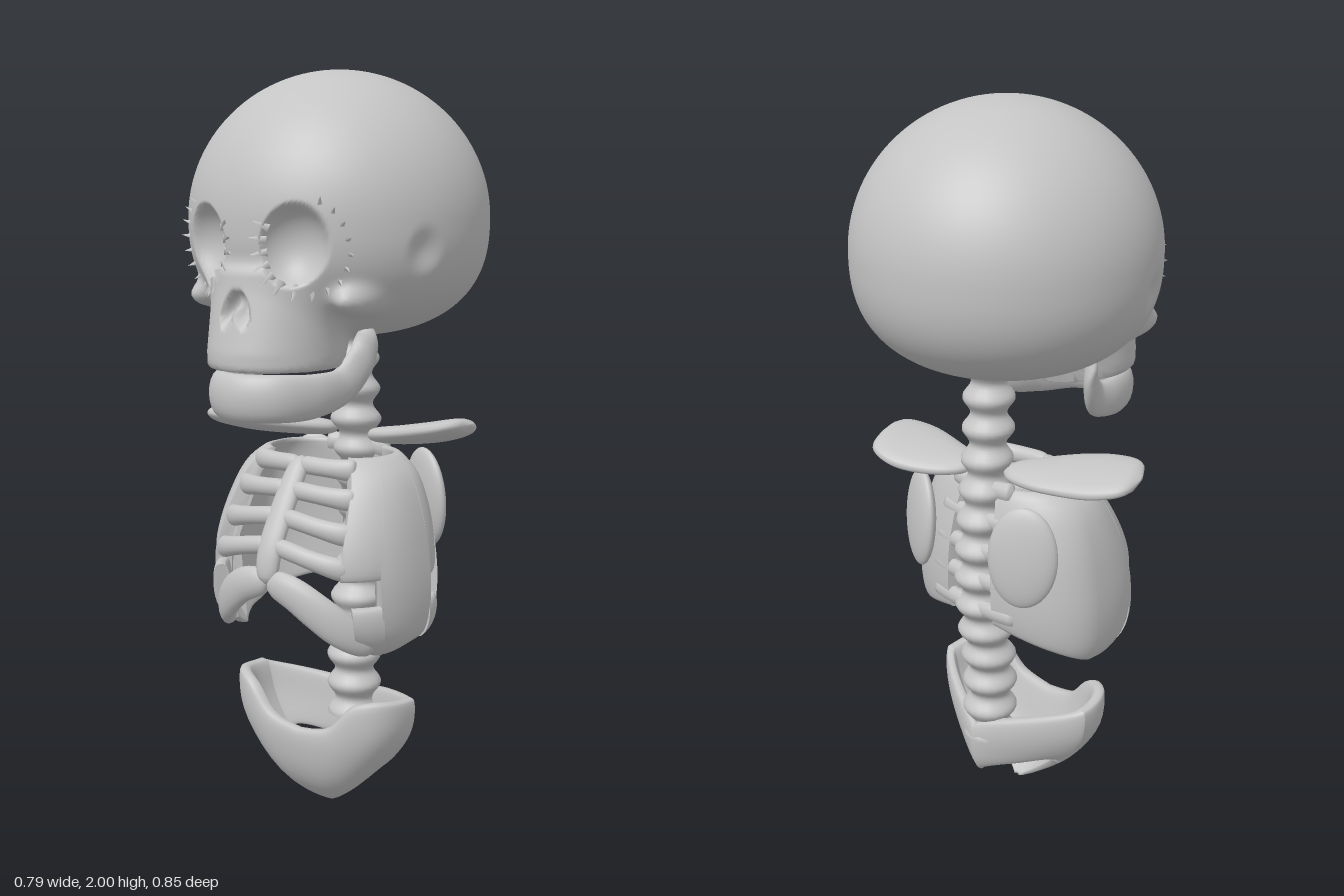
import * as THREE from 'three';

const V = (x, y, z) => new THREE.Vector3(x, y, z);
const bone = new THREE.MeshStandardMaterial({ color: 0xc4c4c4 });
bone.name = 'bone grey';

// smooth curve through [key, value] pairs
function keys(...pairs) {
  const c = new THREE.CubicInterpolant(pairs.map(p => p[0]), pairs.map(p => p[1]), 1);
  return t => c.evaluate(t)[0];
}

// skin a series of equal rings; open ends get caps, winding is set by the volume
function loft(rings, closed = false) {
  const n = rings[0].length, m = rings.length, pts = rings.flat(), idx = [];
  const last = closed ? m : m - 1;
  for (let i = 0; i < last; i++) for (let j = 0; j < n; j++) {
    const k = (j + 1) % n, r = i * n, s = ((i + 1) % m) * n;
    idx.push(r + j, s + j, s + k, r + j, s + k, r + k);
  }
  if (!closed) [rings[0], rings[m - 1]].forEach((ring, e) => {
    const base = pts.length, mid = V(0, 0, 0);
    ring.forEach(p => { mid.addScaledVector(p, 1 / n); pts.push(p.clone()); });
    pts.push(mid);
    for (let j = 0; j < n; j++) {
      const a = base + j, b = base + (j + 1) % n;
      idx.push(base + n, e ? b : a, e ? a : b);
    }
  });
  let vol = 0;
  for (let i = 0; i < idx.length; i += 3)
    vol += pts[idx[i]].dot(V(0, 0, 0).crossVectors(pts[idx[i + 1]], pts[idx[i + 2]]));
  if (vol < 0) idx.reverse();
  const g = new THREE.BufferGeometry().setFromPoints(pts);
  g.setIndex(idx);
  g.computeVertexNormals();
  return g;
}

// rounded bar along a path; sizes are [half thickness, half height] from start to end
function limb(points, sizes, hint = V(0, 1, 0), steps = 32, sides = 16) {
  const curve = new THREE.CatmullRomCurve3(points), k = sizes.length - 1;
  const a = keys(...sizes.map((s, i) => [i / k, s[0]])), b = keys(...sizes.map((s, i) => [i / k, s[1]]));
  const rings = [];
  for (let i = 0; i <= steps; i++) {
    const u = i / steps, t = curve.getTangent(u), c = curve.getPoint(u);
    const up = hint.clone().addScaledVector(t, -hint.dot(t)).normalize();
    const side = V(0, 0, 0).crossVectors(t, up);
    const end = Math.sqrt(Math.max(0.02, 1 - Math.pow(Math.abs(2 * u - 1), 10)));
    rings.push(Array.from({ length: sides }, (_, j) => {
      const q = j / sides * Math.PI * 2;
      return c.clone().addScaledVector(side, Math.cos(q) * a(u) * end).addScaledVector(up, Math.sin(q) * b(u) * end);
    }));
  }
  return loft(rings);
}

// body wall: angle 0 is the front, 90 is +x, 180 the back; a lower power is squarer
const signedPow = (v, p) => Math.sign(v) * Math.pow(Math.abs(v), p);
const wall = (hx, front, back, frontPower, backPower) => (deg, y, inset = 0) => {
  const p = deg * Math.PI / 180, ahead = Math.cos(p) > 0, power = ahead ? frontPower : backPower;
  const c = signedPow(Math.cos(p), power), s = signedPow(Math.sin(p), power);
  return V(Math.max(0.005, hx(y) - inset) * s, y, c * Math.max(0.005, (ahead ? front(y) : back(y)) - inset));
};
function panel(surf, from, to, top, bottom, thick, closed = false) {
  const rings = [], steps = Math.max(3, Math.ceil(Math.abs(to - from) / 3)), n = 36;
  for (let i = 0; i < steps + (closed ? 0 : 1); i++) {
    const deg = from + (to - from) * i / steps, f = Math.abs(deg), hi = top(f), lo = bottom(f);
    rings.push(Array.from({ length: n }, (_, j) => {
      const q = j / n * Math.PI * 2;
      return surf(deg, (hi + lo) / 2 + (hi - lo) / 2 * Math.cos(q), thick / 2 * (1 - signedPow(Math.sin(q), 0.5)));
    }));
  }
  return loft(rings, closed);
}

// skull as blended solids: below zero is inside
const blob = (x, y, z, c, r) => (Math.hypot((x - c[0]) / r[0], (y - c[1]) / r[1], (z - c[2]) / r[2]) - 1) * Math.min(...r);
const join = (a, b, k) => Math.min(a, b) - Math.pow(Math.max(k - Math.abs(a - b), 0), 2) / (4 * k);
const cut = (a, b, k) => -join(-a, b, k);
function skullField(px, y, z) {
  const x = Math.abs(px), dy = (y - 1.62) / (y > 1.62 ? 0.38 : 0.305), n = y > 1.62 ? 2 : 2.5;
  const rho = Math.hypot(x / 0.396, (z + 0.025) / 0.4);
  let d = (Math.pow(Math.pow(rho, n) + Math.pow(Math.abs(dy), n), 1 / n) - 1) * 0.35;
  // upper jaw
  const rz = 0.187 - 0.22 * Math.max(0, y - 1.3);
  const tube = (Math.hypot(x / 0.168, (z - 0.238) / rz) - 1) * 0.165;
  d = join(d, -join(-tube, 0.12 - Math.abs(y - 1.375), 0.015), 0.05);
  // cheekbone, temple, eye socket, nose
  d = join(d, blob(x, y, z, [0.235, 1.43, 0.19], [0.045, 0.04, 0.1]), 0.03);
  d = cut(d, blob(x, y, z, [0.42, 1.54, 0.13], [0.07, 0.07, 0.06]), 0.02);
  d = cut(d, blob(x, y, z, [0.15, 1.56, 0.365], [0.093, 0.103, 0.085]), 0.006);
  return cut(d, blob(x + (y - 1.41) * 0.3, y, z, [0.02, 1.415, 0.41], [0.021, 0.042, 0.05]), 0.006);
}
function skullGeometry() {
  const rings = [], o = V(0, 1.58, 0), m = 150, n = 170;
  for (let i = 0; i <= m; i++) {
    const th = Math.PI * Math.pow(Math.min(Math.max(i / m, 0.006), 0.9995), 1.5);
    rings.push(Array.from({ length: n }, (_, j) => {
      const q = j / n * Math.PI * 2;
      const dir = V(Math.sin(th) * Math.cos(q), Math.sin(th) * Math.sin(q), Math.cos(th));
      const f = r => skullField(dir.x * r, o.y + dir.y * r, dir.z * r);
      let r = 0.15;
      while (f(r) < 0 && r < 0.8) r += 0.01;
      let lo = r - 0.01, hi = r;
      for (let k = 0; k < 12; k++) f((lo + hi) / 2) < 0 ? lo = (lo + hi) / 2 : hi = (lo + hi) / 2;
      return dir.multiplyScalar(lo).add(o);
    }));
  }
  return loft(rings);
}

export function createModel() {
  const group = new THREE.Group();
  const add = (name, geometry) => {
    const mesh = new THREE.Mesh(geometry, bone);
    mesh.name = name;
    group.add(mesh);
    return mesh;
  };

  // head
  add('skull', skullGeometry());
  const half = [[0.185, 1.36, 0.1], [0.175, 1.28, 0.11], [0.152, 1.21, 0.16], [0.136, 1.19, 0.26], [0.09, 1.19, 0.355]];
  const jaw = [...half.map(p => V(...p)), V(0, 1.19, 0.393), ...half.map(p => V(-p[0], p[1], p[2])).reverse()];
  add('lowerJaw', limb(jaw, [[0.018, 0.035], [0.022, 0.045], [0.028, 0.058], [0.03, 0.06], [0.028, 0.058], [0.022, 0.045], [0.018, 0.035]], V(0, 1, 0), 64, 20));

  // pointed fringe around each eye socket
  for (const s of [1, -1]) for (let i = 0; i < 16; i++) {
    const q = (i - 11.5) / 20 * Math.PI * 2, x = 0.15 + Math.cos(q) * 0.105, y = 1.56 + Math.sin(q) * 0.115;
    let z = 0.5;
    while (skullField(x, y, z) > 0 && z > 0.1) z -= 0.004;
    const spike = add('eyeSpike', new THREE.ConeGeometry(0.014, 0.045, 4));
    spike.position.set(s * x, y, z);
    spike.quaternion.setFromUnitVectors(V(0, 1, 0), V(s * (Math.cos(q) * 0.7 + 0.15), Math.sin(q) * 0.7, 0.5).normalize());
  }

  // spine of stacked vertebrae
  const spineZ = keys([0.22, -0.1], [0.45, -0.1], [0.65, -0.125], [0.85, -0.13], [1.1, -0.1], [1.36, -0.09]);
  const spineR = keys([0.22, 0.066], [0.6, 0.066], [0.9, 0.058], [1.1, 0.06], [1.36, 0.058]);
  const rings = [];
  for (let i = 0; i <= 150; i++) {
    const y = 0.22 + i / 150 * 1.14, r = spineR(y) + 0.011 * Math.cos((y - 0.31) / 0.085 * Math.PI * 2);
    rings.push(Array.from({ length: 20 }, (_, j) => {
      const q = j / 20 * Math.PI * 2;
      return V(Math.cos(q) * r, y, spineZ(y) + Math.sin(q) * r);
    }));
  }
  add('spine', loft(rings));

  // rib cage: side walls, ribs, breastbone and lower arch
  const chest = wall(
    keys([0.48, 0.27], [0.55, 0.308], [0.65, 0.318], [0.75, 0.31], [0.9, 0.28], [0.97, 0.25], [1.01, 0.21]),
    keys([0.48, 0.2], [0.55, 0.275], [0.65, 0.305], [0.75, 0.3], [0.9, 0.225], [1.01, 0.15]),
    keys([0.48, 0.15], [0.6, 0.18], [0.8, 0.18], [1.01, 0.14]), 0.8, 0.95);
  const top = () => 1.01;
  const bottom = keys([45, 0.53], [55, 0.5], [90, 0.525], [130, 0.575], [165, 0.62]);
  const arch = keys([0, 0.7], [15, 0.665], [30, 0.61], [45, 0.56], [58, 0.535]);
  for (const s of [1, -1]) {
    add('ribWallFront', panel(chest, s * 38, s * 62, top, () => 0.715, 0.045));
    add('ribWallCorner', panel(chest, s * 44, s * 62, () => s > 0 ? 0.645 : 0.69, bottom, 0.045));
    if (s < 0) add('ribWall', panel(chest, -61, -166, top, bottom, 0.045));
    else {
      add('ribWall', panel(chest, 61, 92, top, bottom, 0.045));
      add('ribWall', panel(chest, 112, 166, top, bottom, 0.045));
      add('ribWallUpper', panel(chest, 91, 113, top, () => 0.695, 0.045));
      add('ribWallLower', panel(chest, 91, 113, () => 0.635, bottom, 0.045));
    }
    [[0.985, 0.005], [0.925, 0.015], [0.86, 0.035], [0.79, 0.05]].forEach(([y, drop]) => {
      const path = [0, 10, 20, 32, 44].map(d => chest(s * d, y - drop * d / 44, 0.022));
      add('rib', limb(path, [[0.022, 0.025], [0.022, 0.025], [0.022, 0.032]]));
    });
    add('lowerArch', limb([0, 12, 24, 36, 48, 58].map(d => chest(s * d, arch(d), 0.024)), [[0.026, 0.042], [0.026, 0.048], [0.022, 0.036]]));

    // rib ends meeting the spine
    for (let y = 0.66; y < 1; y += 0.085)
      add('backRib', limb([150, 160, 172, 180].map(d => chest(s * d, y, 0.02)), [[0.022, 0.03], [0.02, 0.026], [0.018, 0.022]], V(0, 1, 0), 12, 10));

    // shoulder blade
    const blade = add('shoulderBlade', new THREE.SphereGeometry(1, 32, 20));
    blade.scale.set(0.095, 0.14, 0.03);
    blade.position.set(s * 0.19, 0.865, -0.17);
    blade.rotation.set(0.08, -s * 0.45, 0);
  }
  add('breastbone', limb([1.005, 0.93, 0.85, 0.77, 0.69].map(y => chest(0, y, 0.018)), [[0.022, 0.03], [0.022, 0.036], [0.022, 0.035]], V(1, 0, 0)));

  // flat collar plates, one swept forward and one swept back
  const petal = [[0.035, 0.02], [0.08, 0.026], [0.105, 0.028], [0.085, 0.024]], tilt = V(0, 1, -0.2);
  add('collarPlate', limb([V(-0.05, 1.045, -0.09), V(-0.15, 1.05, -0.04), V(-0.27, 1.06, 0.02), V(-0.39, 1.075, 0.06)], petal, tilt));
  add('collarPlate', limb([V(0.05, 1.035, -0.09), V(0.14, 1.04, -0.12), V(0.24, 1.055, -0.145), V(0.335, 1.08, -0.17)], petal, tilt));

  // pelvis: square in front, tapering to the spine, open on top and below the back
  const hips = wall(
    keys([0, 0.05], [0.07, 0.13], [0.15, 0.2], [0.25, 0.262], [0.36, 0.285]),
    keys([0, 0.05], [0.05, 0.105], [0.1, 0.14], [0.2, 0.172], [0.36, 0.19]),
    keys([0, 0.05], [0.1, 0.15], [0.2, 0.175], [0.36, 0.175]), 0.65, 1.6);
  const rim = keys([0, 0.25], [15, 0.275], [30, 0.34], [46, 0.36], [90, 0.35], [120, 0.33], [180, 0.27]);
  const base = keys([0, 0], [35, 0.002], [65, 0.035], [90, 0.13], [110, 0.16], [140, 0.14], [180, 0.1]);
  add('pelvis', panel(hips, -180, 180, rim, base, 0.05, true));

  return group;
}
